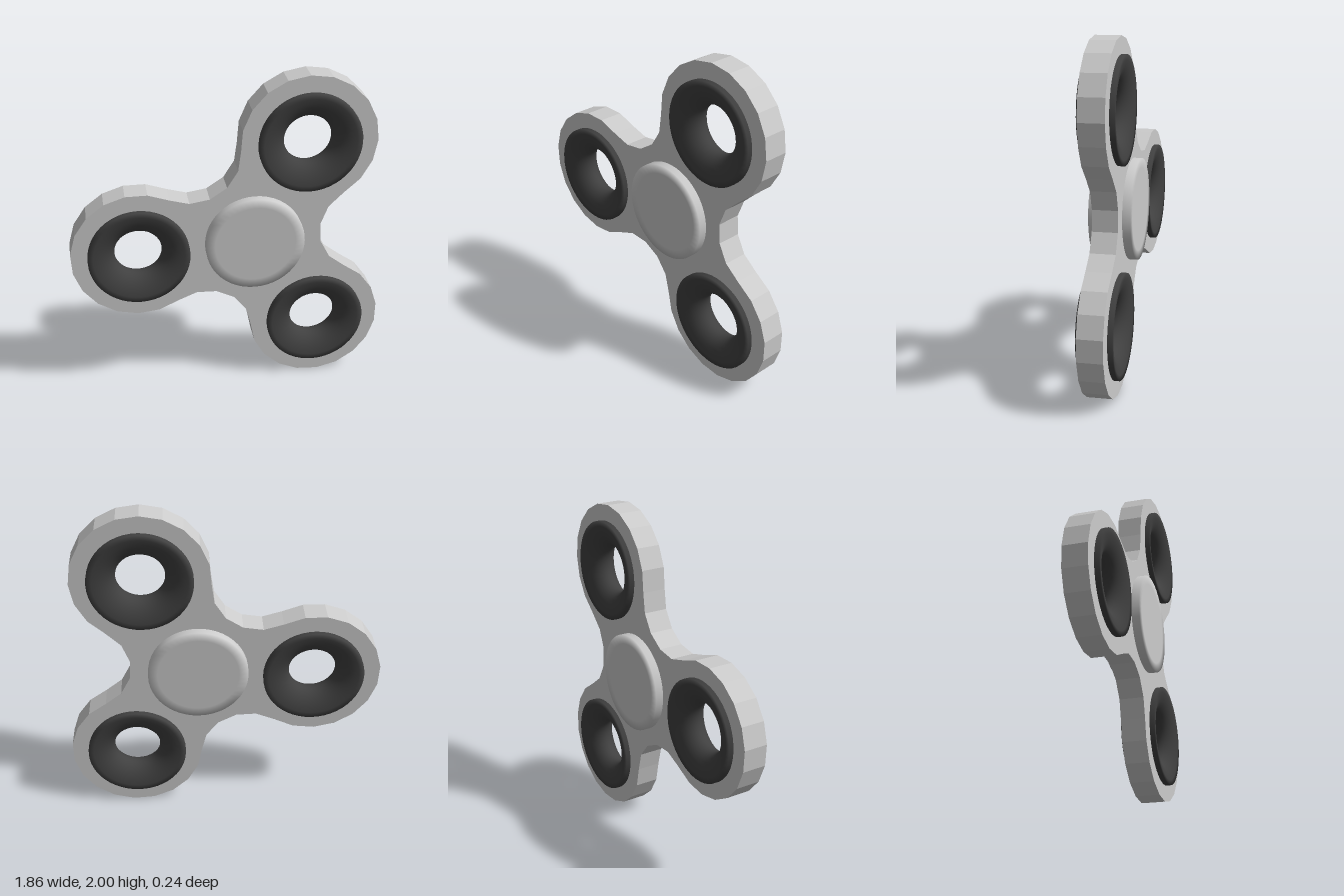
import * as THREE from 'three';

const HUB = new THREE.Vector2(0.145, 0.985);
// Lobe centres, counterclockwise
const LOBES = [[0.46, 1.6], [-0.54, 0.94], [0.53, 0.4]].map(([x, y]) => new THREE.Vector2(x, y));
const LOBE_R = 0.4;
const BODY_HALF = 0.073;

// Points on an arc from angle a through the given sweep
function arc(c, r, a, sweep, n) {
  return Array.from({ length: n + 1 }, (_, i) => {
    const t = a + (sweep * i) / n;
    return new THREE.Vector2(c.x + r * Math.cos(t), c.y + r * Math.sin(t));
  });
}

const angleTo = (from, to) => Math.atan2(to.y - from.y, to.x - from.x);
const wrap = (a) => THREE.MathUtils.euclideanModulo(a, Math.PI * 2);

// Circle between two lobes that touches both of them
function fillet(a, b) {
  const mid = a.clone().add(b).multiplyScalar(0.5);
  const half = a.distanceTo(b) / 2;
  const out = new THREE.Vector2(b.y - a.y, a.x - b.x).normalize();
  const gap = 0.045;
  const r = (half * half + gap * gap - LOBE_R * LOBE_R) / (2 * (LOBE_R - gap));
  return { c: mid.addScaledVector(out, r + gap), r };
}

// Three-lobed outline: faceted lobe arcs joined by concave arcs
function bodyShape() {
  const fillets = LOBES.map((c, i) => fillet(c, LOBES[(i + 1) % 3]));
  const pts = [];
  LOBES.forEach((c, i) => {
    const start = angleTo(c, fillets[(i + 2) % 3].c);
    const sweep = wrap(angleTo(c, fillets[i].c) - start);
    pts.push(...arc(c, LOBE_R, start, sweep, 13).slice(0, -1));
    const f = fillets[i];
    const s = angleTo(f.c, c);
    const back = wrap(s - angleTo(f.c, LOBES[(i + 1) % 3]));
    pts.push(...arc(f.c, f.r, s, -back, 5).slice(0, -1));
  });
  const shape = new THREE.Shape(pts);
  LOBES.forEach((c) => shape.holes.push(new THREE.Path().absarc(c.x, c.y, 0.295, 0, Math.PI * 2, true)));
  return shape;
}

// Smooth turned part with its axis along z
function turned(name, profile, center, color) {
  const geo = new THREE.LatheGeometry(profile.map(([r, h]) => new THREE.Vector2(r, h)), 48);
  geo.rotateX(Math.PI / 2);
  const mesh = new THREE.Mesh(geo, new THREE.MeshStandardMaterial({ color }));
  mesh.position.set(center.x, center.y, 0);
  mesh.name = name;
  return mesh;
}

export function createModel() {
  const group = new THREE.Group();
  group.name = 'spinner';

  // Flat three-armed body
  const geo = new THREE.ExtrudeGeometry(bodyShape(), { depth: BODY_HALF * 2, bevelEnabled: false, curveSegments: 24 });
  geo.translate(0, 0, -BODY_HALF);
  const body = new THREE.Mesh(geo, new THREE.MeshStandardMaterial({ color: 0xcccccc }));
  body.name = 'body';
  group.add(body);

  // Central finger pad, both sides
  const pad = [[0, -0.12], [0.24, -0.12], [0.295, -0.12], [0.295, 0.12], [0.24, 0.12], [0, 0.12]];
  group.add(turned('fingerPad', pad, HUB, 0xcccccc));

  // Weight rings: straight outer wall, rounded throat
  const ring = [[0.3, 0], [0.3, 0.102]];
  for (let i = 1; i < 16; i++) {
    const t = (Math.PI * i) / 16;
    ring.push([0.3 - 0.16 * Math.sin(t), 0.102 * Math.cos(t)]);
  }
  ring.push([0.3, -0.102], [0.3, 0]);
  LOBES.forEach((c, i) => group.add(turned(['upperRing', 'rightRing', 'lowerRing'][i], ring, c, 0x404040)));

  return group;
}
